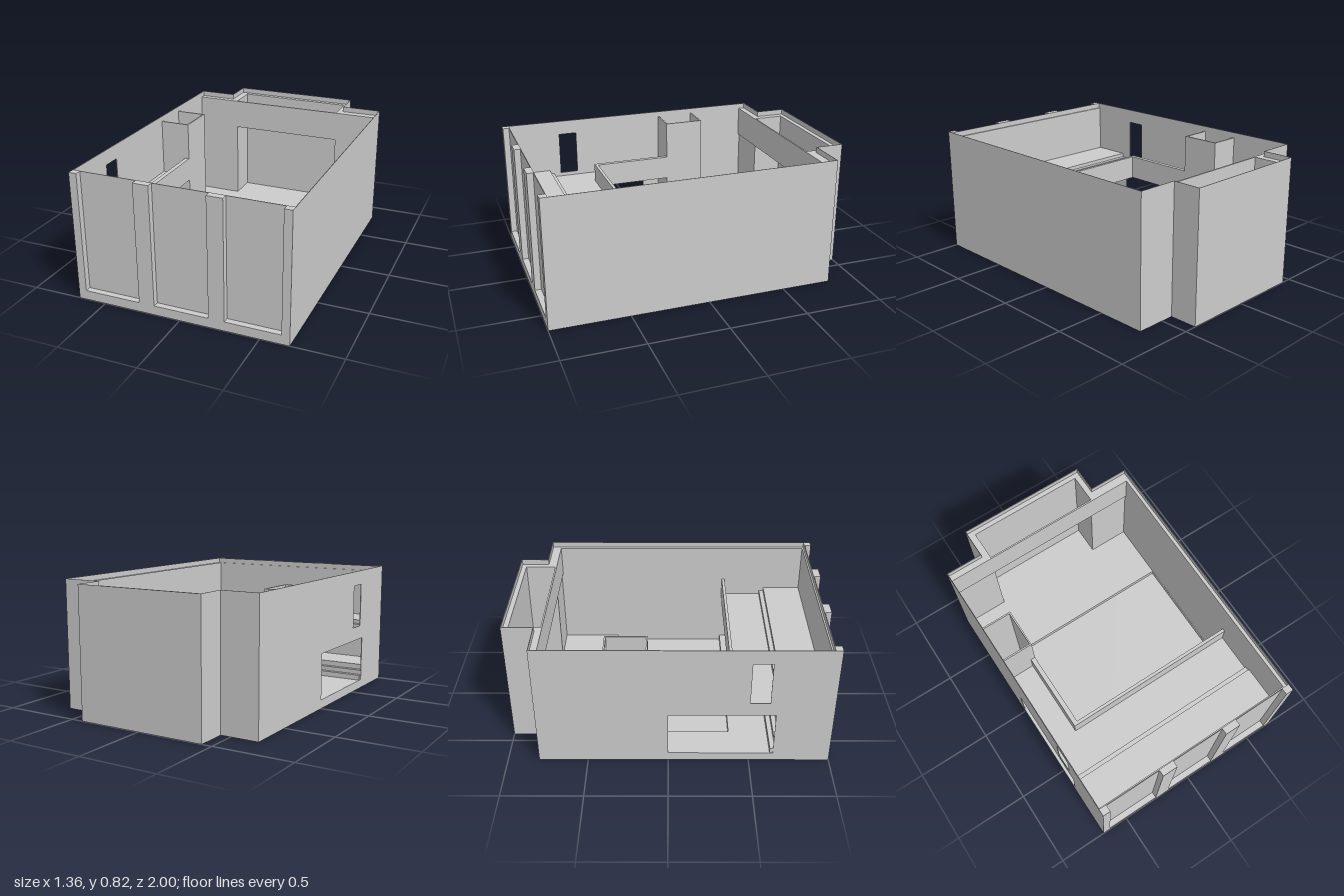
import * as THREE from 'three';

const mat = new THREE.MeshStandardMaterial({ color: 0xcccccc, side: THREE.DoubleSide });

export function createModel() {
  const model = new THREE.Group();

  const add = (name, geometry) => {
    const mesh = new THREE.Mesh(geometry, mat);
    mesh.name = name;
    model.add(mesh);
    return mesh;
  };
  // Box given by its limits on each axis
  const box = (name, x0, x1, y0, y1, z0, z1) =>
    add(name, new THREE.BoxGeometry(x1 - x0, y1 - y0, z1 - z0))
      .position.set((x0 + x1) / 2, (y0 + y1) / 2, (z0 + z1) / 2);
  const poly = (pts) => pts.map(([a, b]) => new THREE.Vector2(a, b));
  const rect = (a0, a1, b0, b1) => poly([[a0, b0], [a1, b0], [a1, b1], [a0, b1]]);
  // Plan outline in (x, z) raised from y0 to y1
  const plan = (name, pts, y0, y1, hole) => {
    const flip = ([x, z]) => [x, -z];
    const shape = new THREE.Shape(poly(pts.map(flip)));
    if (hole) shape.holes.push(new THREE.Path(poly(hole.map(flip))));
    const g = new THREE.ExtrudeGeometry(shape, { depth: y1 - y0, bevelEnabled: false });
    g.rotateX(-Math.PI / 2).translate(0, y0, 0);
    add(name, g);
  };

  const H = 0.825, ledge = 0.79, floorY = 0.055;

  // Base and ground floor with a shallow sunken area
  const footprint = [[-0.68, 1], [0.68, 1], [0.68, -0.82], [0.42, -0.82], [0.42, -1],
    [-0.435, -1], [-0.435, -0.805], [-0.68, -0.805]];
  plan('base', footprint, 0, 0.02);
  const inner = [[-0.675, 0.945], [0.655, 0.945], [0.655, -0.77], [0.38, -0.77], [0.38, -0.965],
    [-0.385, -0.965], [-0.385, -0.77], [-0.675, -0.77]];
  plan('groundFloor', inner, 0.02, floorY,
    [[-0.475, 0.385], [0.654, 0.385], [0.654, -0.38], [-0.475, -0.38]]);

  // Right side wall and back walls around the bay
  plan('rearWalls', [[0.655, 0.96], [0.68, 0.96], [0.68, -0.82], [0.42, -0.82], [0.42, -1],
    [-0.435, -1], [-0.435, -0.805], [-0.68, -0.805], [-0.68, -0.77], [-0.385, -0.77],
    [-0.385, -0.965], [0.38, -0.965], [0.38, -0.77], [0.655, -0.77]], 0.02, ledge);

  // Thin raised rim on the outer edge of those walls
  const t = 0.004;
  plan('wallRim', [[0.68 - t, 1], [0.68, 1], [0.68, -0.82], [0.42, -0.82], [0.42, -1],
    [-0.435, -1], [-0.435, -0.805], [-0.68, -0.805], [-0.68, -0.77], [-0.68 + t, -0.77],
    [-0.68 + t, -0.805 + t], [-0.435 + t, -0.805 + t], [-0.435 + t, -1 + t], [0.42 - t, -1 + t],
    [0.42 - t, -0.82 + t], [0.68 - t, -0.82 + t]], ledge, H);

  // Side wall with a wide low opening and a tall window
  const side = new THREE.Shape(rect(-0.77, 0.96, 0.02, H));
  side.holes.push(new THREE.Path(rect(0, 0.65, 0.057, 0.355)));
  side.holes.push(new THREE.Path(rect(0.49, 0.61, 0.445, 0.73)));
  const sideGeo = new THREE.ExtrudeGeometry(side, { depth: 0.005, bevelEnabled: false });
  sideGeo.rotateY(-Math.PI / 2).translate(-0.675, 0, 0);
  add('openingWall', sideGeo);

  // Front wall: recessed panels, sill and pilasters
  box('frontLining', -0.675, 0.655, 0.02, ledge, 0.945, 0.955);
  box('frontPanels', -0.68, 0.68, 0.02, H, 0.955, 0.96);
  box('frontSill', -0.68, 0.68, 0.02, 0.06, 0.96, 1);
  for (const [a, b] of [[-0.68, -0.63], [-0.265, -0.165], [0.185, 0.285], [0.63, 0.68]])
    box('pilaster', a, b, 0.06, H, 0.96, 1);

  // Beam across the bay
  box('bayBeam', -0.675, 0.655, 0.59, ledge, -0.77, -0.76);

  // Stepped platforms at the front of both storeys
  [[0.63, 0.09], [0.66, 0.12], [0.69, 0.155]].forEach(([z, y], i, all) =>
    box('lowerStep', -0.675, 0.655, i ? all[i - 1][1] : floorY, y, z, 0.945));
  box('upperStep', -0.675, 0.655, 0.42, 0.445, 0.66, 0.945);
  box('upperPlatform', -0.675, 0.655, 0.445, 0.47, 0.69, 0.945);

  // Gallery slab and its parapet
  plan('gallerySlab', [[-0.675, 0.945], [0.655, 0.945], [0.655, 0.385], [-0.475, 0.385],
    [-0.475, -0.12], [-0.675, -0.12]], 0.385, 0.42);
  plan('galleryParapet', [[-0.505, 0.405], [0.655, 0.405], [0.655, 0.385], [-0.475, 0.385],
    [-0.475, -0.12], [-0.505, -0.12]], 0.42, 0.543);

  // Small side room beside the gallery
  box('roomFrontWall', -0.675, -0.475, floorY, ledge, -0.13, -0.12);
  box('roomSideWall', -0.485, -0.475, 0.02, ledge, -0.38, -0.13);
  box('roomBackWall', -0.675, -0.485, floorY, ledge, -0.38, -0.37);

  return model;
}
